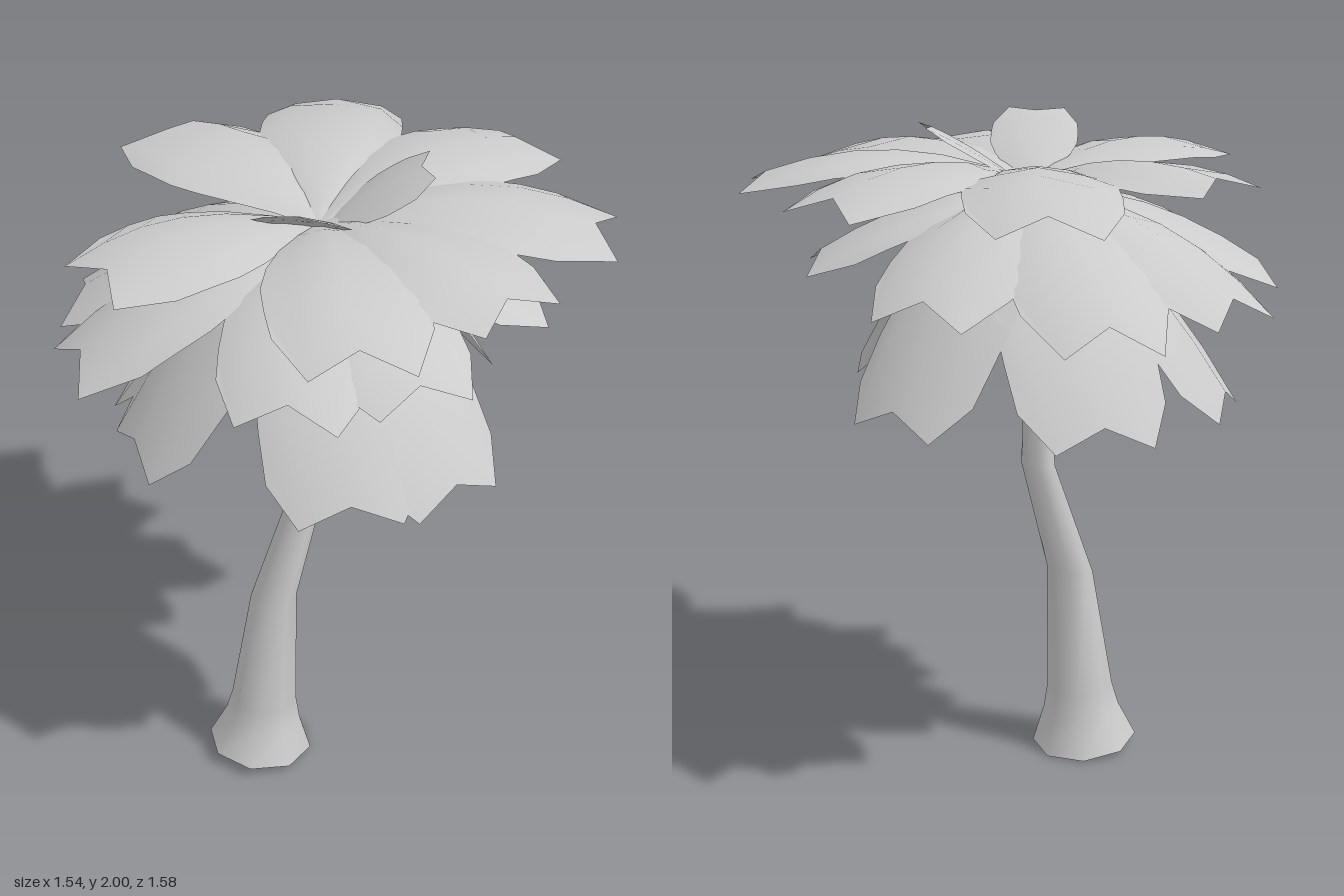
import * as THREE from 'three';

const material = new THREE.MeshStandardMaterial({ color: 0xcccccc, side: THREE.DoubleSide });

// Smooth sheet from a grid of points; wrap closes each row into a ring
function gridMesh(name, rows, wrap) {
  const n = rows[0].length;
  const positions = rows.flat().flatMap(p => p.toArray());
  const index = [];
  for (let i = 0; i < rows.length - 1; i++) {
    for (let j = 0; j < (wrap ? n : n - 1); j++) {
      const k = (j + 1) % n;
      const a = i * n + j, b = i * n + k, c = a + n, d = b + n;
      index.push(a, c, b, b, c, d);
    }
  }
  const geometry = new THREE.BufferGeometry();
  geometry.setAttribute('position', new THREE.Float32BufferAttribute(positions, 3));
  geometry.setIndex(index);
  geometry.computeVertexNormals();
  const mesh = new THREE.Mesh(geometry, material);
  mesh.name = name;
  return mesh;
}

// Bent, tapering trunk: octagonal rings [y, x, z, radius, tilt], open underneath
function makeTrunk() {
  const rings = [
    [0.022, -0.025, 0.25, 0.163, 0.12],
    [0.135, -0.02, 0.24, 0.118, 0.08],
    [0.21, -0.018, 0.235, 0.102, 0.04],
    [0.6, -0.005, 0.2, 0.071, -0.2],
    [0.96, 0.008, 0.075, 0.051, -0.15],
    [1.25, 0.008, 0.07, 0.039, 0],
    [1.82, 0, 0.03, 0.02, 0],
  ];
  const rows = rings.map(([y, x, z, r, tilt]) => Array.from({ length: 8 }, (_, k) => {
    const a = k * Math.PI / 4;
    return new THREE.Vector3(x + r * Math.cos(a), y + tilt * r * Math.sin(a), z + r * Math.sin(a));
  }));
  return gridMesh('trunk', rows, true);
}

// Leaf profile: height = base + rise * r + bend * r^2; arch curls the sides down
const columns = [-1, -0.66, 0, 0.66, 1];
const teeth = [0.2, 0, 0.09, 0.01, 0.21];
const widths = [0.07, 0.36, 0.64, 0.86, 0.99, 1, 0.97];

function makeLeaf(name, layer, angle, length) {
  const { base, rise, bend, arch, width, tooth } = layer;
  const a = THREE.MathUtils.degToRad(angle);
  const rows = widths.map((w, i) => columns.map((v, j) => {
    const r = (i / (widths.length - 1)) * length * (1 - tooth * teeth[j]);
    const slope = rise + 2 * bend * r;
    const drop = arch * w * v * v / Math.hypot(1, slope);
    const out = r + slope * drop;
    const y = base + rise * r + bend * r * r - drop;
    const side = v * w * width;
    return new THREE.Vector3(
      out * Math.cos(a) - side * Math.sin(a),
      y,
      0.03 + out * Math.sin(a) + side * Math.cos(a));
  }));
  return gridMesh(name, rows, false);
}

// Leaf layers; each leaf is [direction in degrees from +x toward +z, reach]
const layers = [
  {
    name: 'crownLeaf', base: 1.8, rise: 0.82, bend: -0.6, arch: 0.02, width: 0.13, tooth: 1,
    leaves: [[-58, 0.31], [47, 0.33]],
  },
  {
    name: 'upperLeaf', base: 1.82, rise: 0.447, bend: -0.53, arch: 0.045, width: 0.21, tooth: 1,
    leaves: [[28, 0.82], [91, 0.725], [173, 0.71], [220, 0.86], [266, 0.83], [311, 0.83], [353, 0.77]],
  },
  {
    name: 'middleLeaf', base: 1.8, rise: 0.07, bend: -0.57, arch: 0.06, width: 0.21, tooth: 0.95,
    leaves: [[10, 0.66], [43, 0.68], [104, 0.76], [132, 0.73], [172, 0.77], [207, 0.8], [248, 0.73], [308, 0.66]],
  },
  {
    name: 'lowerLeaf', base: 1.8, rise: -0.355, bend: -1.04, arch: 0.06, width: 0.225, tooth: 0.6,
    leaves: [[27, 0.6], [102, 0.6], [148, 0.62], [203, 0.62], [264, 0.61], [355, 0.61]],
  },
];

export function createModel() {
  const model = new THREE.Group();
  model.name = 'palmTree';
  model.add(makeTrunk());
  for (const layer of layers) {
    const group = new THREE.Group();
    group.name = layer.name + 'Layer';
    layer.leaves.forEach(([angle, length]) => group.add(makeLeaf(layer.name, layer, angle, length)));
    model.add(group);
  }
  return model;
}
